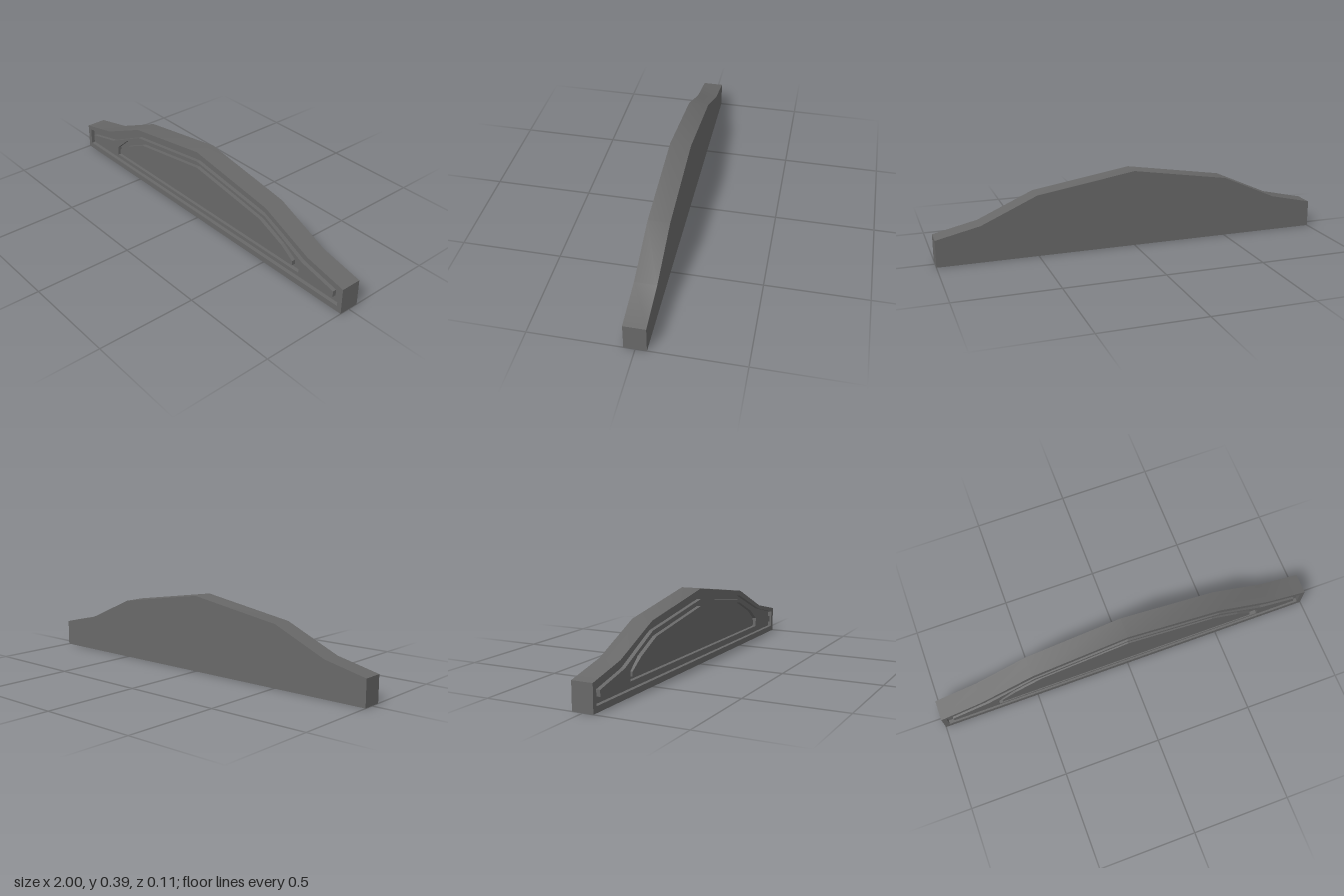
import * as THREE from 'three';
import { mergeVertices } from 'three/addons/utils/BufferGeometryUtils.js';

const FRONT = 0.053, BACK = -0.053, FLOOR = 0.033;

// Right half of an outline from the bottom corner up to the apex, mirrored (counter-clockwise)
function mirrored(half) {
  const left = half.filter(([x]) => x > 0).map(([x, y]) => [-x, y]).reverse();
  return [...half, ...left];
}

const outline = mirrored([[1, 0], [1, 0.135], [0.78, 0.185], [0.5, 0.31], [0, 0.39]]);
const frameInner = mirrored([[0.975, 0.03], [0.975, 0.117], [0.765, 0.169], [0.495, 0.283], [0, 0.368]]);
const fieldOuter = mirrored([[0.945, 0.062], [0.945, 0.093], [0.745, 0.14], [0.495, 0.262], [0, 0.336]]);
// The inner groove is slightly uneven from side to side
const fieldInner = [[0.73, 0.071], [0.73, 0.117], [0.655, 0.172], [0.49, 0.246], [0, 0.325],
  [-0.49, 0.246], [-0.61, 0.195], [-0.7, 0.117], [-0.7, 0.071]];
const panelOuter = [[0.687, 0.088], [0.687, 0.112], [0.61, 0.165], [0.46, 0.23], [0, 0.3],
  [-0.46, 0.23], [-0.6, 0.165], [-0.68, 0.112], [-0.68, 0.088]];

const toPoints = (pts) => pts.map(([x, y]) => new THREE.Vector2(x, y));

// Flat face at depth z, with an optional opening
function face(pts, z, hole) {
  const shape = new THREE.Shape(toPoints(pts));
  if (hole) shape.holes.push(new THREE.Path(toPoints(hole)));
  return new THREE.ShapeGeometry(shape).translate(0, 0, z);
}

// Wall along a line of points from z0 to z1; faces outward when z0 < z1, inward otherwise
function wall(pts, z0, z1) {
  const pos = [];
  for (let i = 0; i < pts.length - 1; i++) {
    const [ax, ay] = pts[i];
    const [bx, by] = pts[i + 1];
    pos.push(ax, ay, z0, bx, by, z0, bx, by, z1);
    pos.push(ax, ay, z0, bx, by, z1, ax, ay, z1);
  }
  const geo = new THREE.BufferGeometry();
  geo.setAttribute('position', new THREE.Float32BufferAttribute(pos, 3));
  return geo;
}

// Faceted wall with hard corners
function hardWall(pts, z0, z1) {
  const geo = wall(pts, z0, z1);
  geo.computeVertexNormals();
  return geo;
}

// Wall shaded as one continuous surface
function softWall(pts, z0, z1) {
  const geo = mergeVertices(wall(pts, z0, z1));
  geo.computeVertexNormals();
  return geo;
}

export function createModel() {
  const model = new THREE.Group();
  model.name = 'pediment';
  const material = new THREE.MeshStandardMaterial({ color: 0x686868, side: THREE.DoubleSide });
  const add = (name, geometry) => {
    const mesh = new THREE.Mesh(geometry, material);
    mesh.name = name;
    model.add(mesh);
  };

  // Hollow body, open underneath, with a softly shaded top between hard-edged ends
  add('top', softWall(outline.slice(1, -1), BACK, FRONT));
  add('leftEnd', hardWall(outline.slice(0, 2), BACK, FRONT));
  add('rightEnd', hardWall(outline.slice(-2), BACK, FRONT));
  add('backFace', face(outline, 0).rotateY(Math.PI).translate(0, 0, BACK));

  // Front surfaces between the grooves
  add('frontFrame', face(outline, FRONT, frameInner));
  add('frontField', face(fieldOuter, FRONT, fieldInner));
  add('centrePanel', face(panelOuter, FRONT));

  // Two recessed grooves with square walls
  const grooves = [['outerGroove', frameInner, fieldOuter], ['innerGroove', fieldInner, panelOuter]];
  for (const [name, outer, inner] of grooves) {
    add(name + 'Floor', face(outer, FLOOR, inner));
    add(name + 'OuterWall', hardWall([...outer, outer[0]], FRONT, FLOOR));
    add(name + 'InnerWall', hardWall([...inner, inner[0]], FLOOR, FRONT));
  }
  return model;
}
